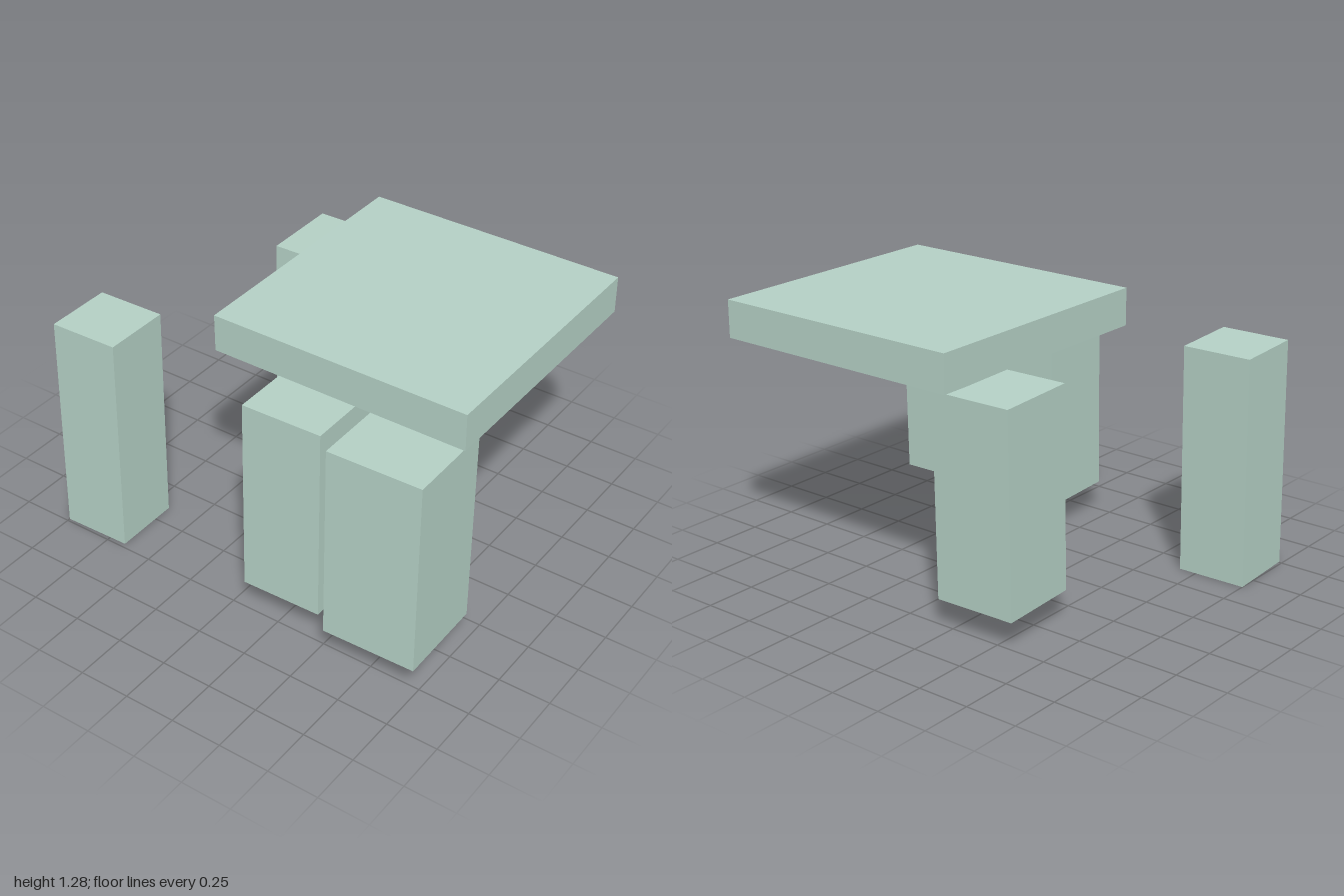
import * as THREE from 'three';

export function createModel() {
  const model = new THREE.Group();
  const material = new THREE.MeshStandardMaterial({ color: 0xb4d0c5, flatShading: true });

  function addBlock(name, size, centre) {
    const mesh = new THREE.Mesh(new THREE.BoxGeometry(...size), material);
    mesh.name = name;
    mesh.position.set(...centre);
    model.add(mesh);
    return mesh;
  }

  // Flat square slab, level
  addBlock('tableTop', [1.28, 0.18, 1.28], [0.36, 1.19, -0.18]);

  // Pillars, all leaning back and turned by the same small angle
  const pillars = [
    ['freestandingPillar', [0.337, 1.097, 0.337], [-0.828, 0.553, 0.557]],
    ['backPillar', [0.398, 0.958, 0.393], [-0.39, 0.623, -0.592]],
    ['frontMiddlePillar', [0.395, 0.958, 0.393], [0.263, 0.623, 0.541]],
    ['frontLeftPillar', [0.457, 0.958, 0.45], [0.766, 0.623, 0.573]],
  ];
  for (const [name, size, centre] of pillars) {
    addBlock(name, size, centre).rotation.set(-0.024, 0.025, 0);
  }

  return model;
}
